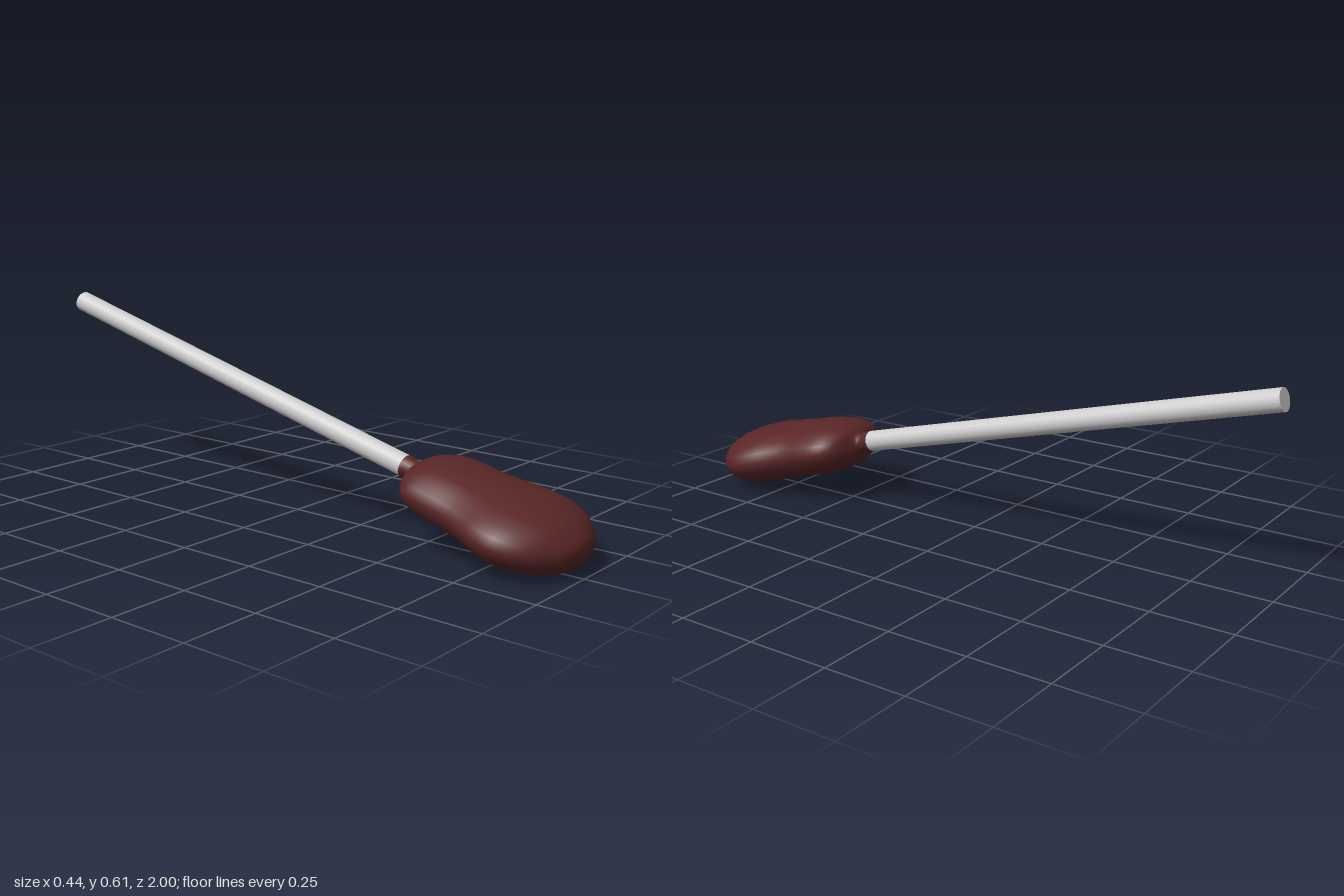
import * as THREE from 'three';
import { mergeVertices } from 'three/addons/utils/BufferGeometryUtils.js';

const headMaterial = new THREE.MeshStandardMaterial({ color: 0x5a2626 });
headMaterial.name = 'dark red felt';
const stickMaterial = new THREE.MeshStandardMaterial({ color: 0xcccccc });
stickMaterial.name = 'pale grey';

// [distance along the shaft, half width, half thickness]
const SECTIONS = [
  [0.425, 0.036, 0.034], [0.465, 0.032, 0.03], [0.475, 0.05, 0.036],
  [0.485, 0.1, 0.05], [0.505, 0.135, 0.065], [0.54, 0.16, 0.08],
  [0.6, 0.169, 0.09], [0.68, 0.173, 0.091], [0.74, 0.189, 0.092],
  [0.8, 0.212, 0.094], [0.86, 0.22, 0.095], [0.91, 0.203, 0.091],
  [0.96, 0.166, 0.079], [1.0, 0.112, 0.056], [1.02, 0.068, 0.036], [1.031, 0, 0],
];

// Elliptical loft: a lathe whose thickness is flattened ring by ring
function headGeometry() {
  const curve = new THREE.CatmullRomCurve3(
    SECTIONS.map(([s, a, b]) => new THREE.Vector3(a, b, s)));
  const rings = curve.getPoints(45);
  const lathe = new THREE.LatheGeometry(
    rings.map((p) => new THREE.Vector2(Math.max(p.x, 0), p.z)), 20);
  lathe.rotateX(Math.PI / 2);
  const pos = lathe.attributes.position;
  for (let i = 0; i < pos.count; i++) {
    const ring = rings[i % rings.length];
    if (ring.x > 1e-5) pos.setY(i, pos.getY(i) * ring.y / ring.x);
  }
  // Weld the seam so the shading is continuous
  lathe.deleteAttribute('uv');
  lathe.deleteAttribute('normal');
  const geometry = mergeVertices(lathe, 1e-5);
  geometry.computeVertexNormals();
  return geometry;
}

export function createModel() {
  const model = new THREE.Group();
  model.name = 'mallet';

  const head = new THREE.Mesh(headGeometry(), headMaterial);
  head.name = 'paddedHead';

  // Straight round shaft with flat ends
  const back = -1.024, front = 0.425;
  const shaft = new THREE.CylinderGeometry(0.0335, 0.0335, front - back, 20);
  shaft.rotateX(Math.PI / 2);
  const stick = new THREE.Mesh(shaft, stickMaterial);
  stick.name = 'stick';
  stick.position.z = (front + back) / 2;

  // Tilt everything so the head rests on the ground
  const tilted = new THREE.Group();
  tilted.name = 'tiltedMallet';
  tilted.position.y = 0.328;
  tilted.rotation.x = Math.atan(0.259);
  tilted.add(head, stick);
  model.add(tilted);
  return model;
}
